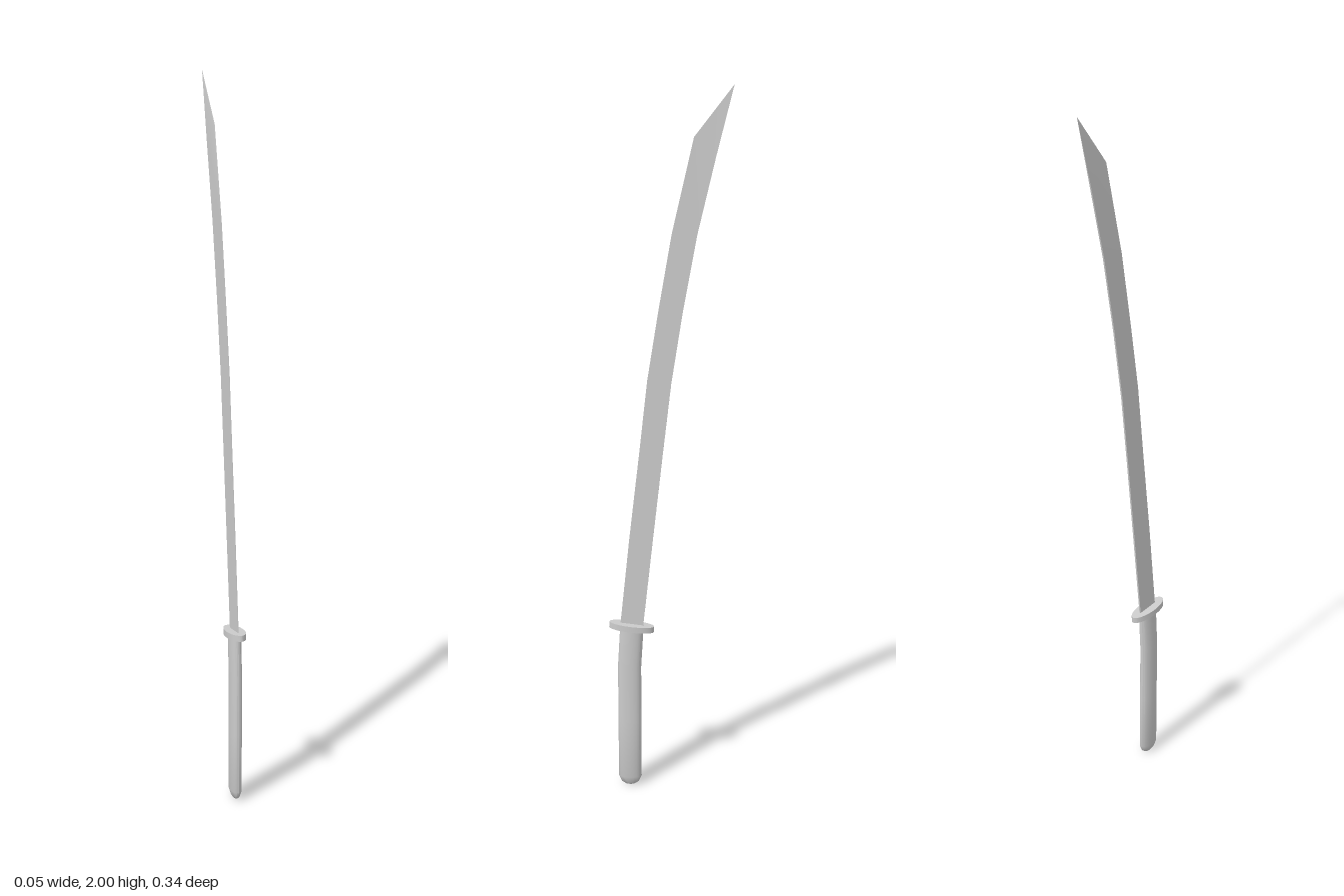
import * as THREE from 'three';
import { toCreasedNormals } from 'three/addons/utils/BufferGeometryUtils.js';

const material = new THREE.MeshStandardMaterial({ color: 0xcccccc });

// Skin a stack of rings (counter-clockwise from above) and cap both ends
function loft(rings, crease) {
  const n = rings[0].length;
  const points = rings.flat();
  const index = [];
  for (let j = 0; j < rings.length - 1; j++) {
    for (let i = 0; i < n; i++) {
      const a = j * n + i, b = j * n + (i + 1) % n;
      index.push(a, b, a + n, b, b + n, a + n);
    }
  }
  const top = (rings.length - 1) * n;
  for (let i = 1; i < n - 1; i++) {
    index.push(0, i + 1, i, top, top + i, top + i + 1);
  }
  const geometry = new THREE.BufferGeometry().setFromPoints(points);
  geometry.setIndex(index);
  return toCreasedNormals(geometry, crease);
}

// Elliptical ring, tilted so that its front sits higher by slope
function ellipse(y, z, rx, rz, slope = 0, n = 20) {
  return Array.from({ length: n }, (_, i) => {
    const a = (i / n) * Math.PI * 2;
    const dz = -Math.sin(a) * rz;
    return new THREE.Vector3(Math.cos(a) * rx, y + dz * slope, z + dz);
  });
}

function part(name, geometry) {
  const mesh = new THREE.Mesh(geometry, material);
  mesh.name = name;
  return mesh;
}

export function createModel() {
  const group = new THREE.Group();
  group.name = 'curvedSword';

  // Handle: oval grip with a chamfered pommel, leaning back at the top
  group.add(part('handle', loft([
    ellipse(0, 0.113, 0.006, 0.013),
    ellipse(0.008, 0.113, 0.011, 0.025),
    ellipse(0.026, 0.113, 0.016, 0.033),
    ellipse(0.2, 0.113, 0.016, 0.033),
    ellipse(0.37, 0.113, 0.016, 0.033, 0.04),
    ellipse(0.488, 0.106, 0.016, 0.033, 0.11),
  ], 0.7)));

  // Guard: thin oval disc square to the blade
  group.add(part('guard', loft([
    ellipse(0.483, 0.107, 0.025, 0.063, 0.11, 32),
    ellipse(0.5, 0.106, 0.025, 0.063, 0.11, 32),
  ], 0.6)));

  // Blade: wedge sections as [edge z, edge y, spine z, spine y, half thickness]
  const sections = [
    [0.139, 0.49, 0.075, 0.483, 0.0025],
    [0.112, 0.75, 0.047, 0.74, 0.0025],
    [0.082, 1.01, 0.018, 1.0, 0.0025],
    [0.06, 1.21, -0.005, 1.2, 0.0025],
    [0.03, 1.4, -0.036, 1.4, 0.0025],
    [-0.006, 1.61, -0.074, 1.61, 0.0025],
    [-0.064, 1.865, -0.122, 1.815, 0.0022],
    [-0.167, 1.999, -0.168, 2, 0.0001],
  ];
  group.add(part('blade', loft(sections.map(([ez, ey, sz, sy, t]) => [
    new THREE.Vector3(t, sy, sz),
    new THREE.Vector3(-t, sy, sz),
    new THREE.Vector3(-t * 0.4, ey, ez),
    new THREE.Vector3(t * 0.4, ey, ez),
  ]), 0.5)));

  return group;
}
